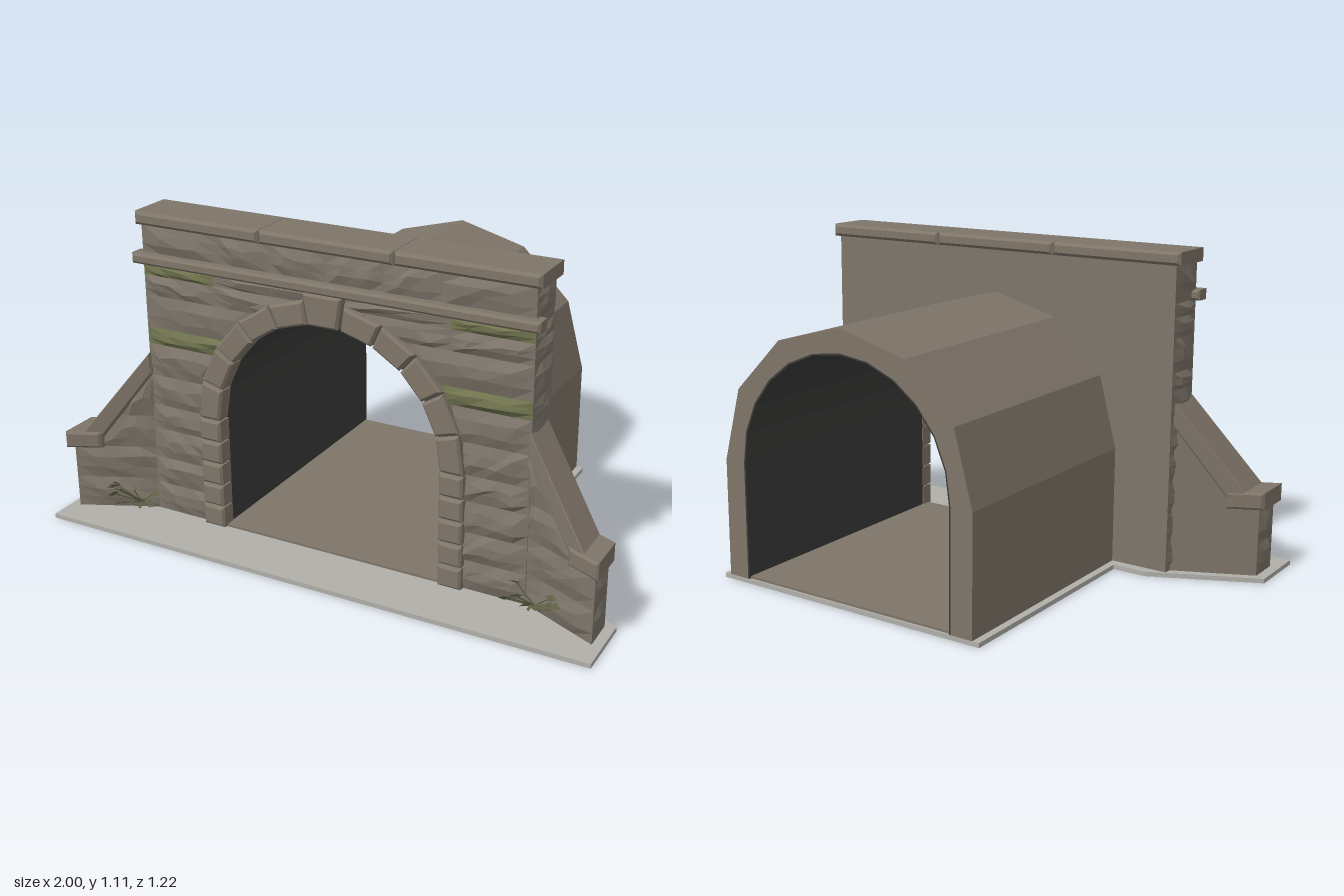
import * as THREE from 'three';
import { mergeGeometries } from 'three/addons/utils/BufferGeometryUtils.js';

const material = (name, color, side = THREE.FrontSide) => {
  const m = new THREE.MeshStandardMaterial({ color, side });
  m.name = name;
  return m;
};

const SPRING = 0.42;   // height where the arch starts
const GROUND = 0.016;  // top of the ground slab

let seed = 7;
const rand = () => (seed = (seed * 16807) % 2147483647) / 2147483647;
const lerp = THREE.MathUtils.lerp;

// Flat sided prism from x/y points, between two z values
function prism(points, z0, z1, bevel = 0) {
  const shape = new THREE.Shape(points.map(([x, y]) => new THREE.Vector2(x, y)));
  const geo = new THREE.ExtrudeGeometry(shape, {
    depth: z1 - z0 - 2 * bevel, bevelEnabled: bevel > 0,
    bevelSize: bevel, bevelThickness: bevel, bevelSegments: 1, steps: 1,
  });
  return geo.translate(0, 0, z0 + bevel);
}

// Chamfered rectangular stone
function stone(x0, x1, y0, y1, z0, z1, b = 0.008) {
  return prism([[x0 + b, y0 + b], [x1 - b, y0 + b], [x1 - b, y1 - b], [x0 + b, y1 - b]], z0, z1, b);
}

// Arch outline from right foot over the crown to left foot
function archLine(r, n) {
  const pts = [[r, GROUND]];
  for (let i = 0; i <= n; i++) {
    const a = (i / n) * Math.PI;
    pts.push([r * Math.cos(a), SPRING + r * Math.sin(a)]);
  }
  pts.push([-r, GROUND]);
  return pts;
}
const horseshoe = (ro, no, ri, ni, z0, z1) =>
  prism([...archLine(ro, no), ...archLine(ri, ni).reverse()], z0, z1);

// Rock-faced patch: at(u, v) gives the surface, dir pushes the inside outward
function rough(at, dir, nu, nv, depth, flip) {
  const grid = [];
  for (let j = 0; j <= nv; j++) {
    for (let i = 0; i <= nu; i++) {
      const inner = i > 0 && i < nu && j > 0 && j < nv;
      const u = (i + (inner ? (rand() - 0.5) * 0.5 : 0)) / nu;
      const v = (j + (inner ? (rand() - 0.5) * 0.5 : 0)) / nv;
      grid.push(at(u, v).addScaledVector(dir, inner ? depth * (0.4 + 0.8 * rand()) : 0));
    }
  }
  const pos = [];
  const tri = (a, b, c) => (flip ? [a, c, b] : [a, b, c]).forEach((k) => pos.push(...grid[k].toArray()));
  for (let j = 0; j < nv; j++) {
    for (let i = 0; i < nu; i++) {
      const a = j * (nu + 1) + i, b = a + 1, c = a + nu + 1, d = c + 1;
      tri(a, b, d);
      tri(a, d, c);
    }
  }
  const geo = new THREE.BufferGeometry();
  geo.setAttribute('position', new THREE.Float32BufferAttribute(pos, 3));
  geo.computeVertexNormals();
  return geo;
}

// Wing walls slant forward as they leave the portal
const slant = (x) => 0.46 * (Math.abs(x) - 0.71);
function sheared(geo) {
  const p = geo.attributes.position;
  for (let i = 0; i < p.count; i++) p.setZ(i, p.getZ(i) + slant(p.getX(i)));
  geo.computeVertexNormals();
  return geo;
}

export function createModel() {
  const model = new THREE.Group();
  model.name = 'tunnelPortal';
  const wall = material('wall stone', 0x7d756a);
  const trim = material('dressed stone', 0x7f7569);
  const ground = material('ground concrete', 0xb0afa9);
  const dark = material('dark lining', 0x3b3b3a);
  const joint = material('mortar', 0x4c463e);
  const moss = material('moss', 0x70744e);
  const leaf = material('leaf green', 0x5d6042, THREE.DoubleSide);
  const add = (name, geo, mat) => {
    const mesh = new THREE.Mesh(geo, mat);
    mesh.name = name;
    model.add(mesh);
  };

  // Ground slab and tunnel floor
  const half = [[1, -0.61], [1, -0.385], [0.64, -0.215], [0.52, -0.215], [0.52, 0.61]];
  const outline = [...half, ...half.map(([x, y]) => [-x, y]).reverse()];
  add('groundSlab', prism(outline, 0, GROUND).rotateX(-Math.PI / 2), ground);
  add('tunnelFloor', new THREE.BoxGeometry(0.824, 0.008, 1.005).translate(0, 0.02, -0.1), trim);

  // Tunnel
  add('tunnelShell', horseshoe(0.495, 6, 0.416, 12, -0.61, 0.26), trim);
  add('tunnelLining', horseshoe(0.416, 12, 0.41, 12, -0.609, 0.37), dark);

  // Portal wall with its arched opening
  add('portalWall', prism([[0.7, GROUND], [0.7, 1.07], [-0.7, 1.07], [-0.7, GROUND],
    ...archLine(0.416, 12).reverse()], 0.25, 0.393), wall);
  add('archMortar', horseshoe(0.486, 22, 0.416, 22, 0.36, 0.408), joint);

  // Rock-faced courses on the front and ends
  const rows = [GROUND, 0.12, 0.22, 0.33, 0.42, 0.53, 0.645, 0.705, 0.82, 0.89, 0.937];
  const archEdge = (y) => (y < SPRING ? 0.45 : Math.sqrt(Math.max(0, 0.45 ** 2 - (y - SPRING) ** 2)));
  const faces = [], mossy = [], wings = [];
  const front = new THREE.Vector3(0, 0, 1);
  for (const s of [1, -1]) {
    const flip = s < 0, out = new THREE.Vector3(s, 0, 0);
    const course = (y0, y1, inner, outer, nu) => rough((u, v) => {
      const y = lerp(y0, y1, v);
      return new THREE.Vector3(s * lerp(inner(y), outer(y), u), y, 0.395);
    }, front, nu, 3, 0.014, flip);
    const end = (y0, y1, x, z0, z1) => rough((u, v) =>
      new THREE.Vector3(s * x, lerp(y0, y1, v), lerp(z0, z1, u)), out, 3, 3, 0.012, flip);
    for (let i = 0; i < rows.length - 1; i++) {
      const y0 = rows[i], y1 = rows[i + 1], top = i >= 8;
      const edge = () => 0.702, split = () => 0.43;
      (i === 6 || i === 9 ? mossy : faces).push(course(y0, y1, top ? split : archEdge, edge, 5));
      if (top) faces.push(course(y0, y1, archEdge, split, 4));
      faces.push(end(y0, y1, 0.702, 0.395, 0.25));
    }
    // Frieze
    [[0, 0.2], [0.2, 0.4], [0.4, 0.702]].forEach(([a, b]) =>
      faces.push(course(0.965, 1.066, () => a, () => b, 4)));
    faces.push(end(0.965, 1.066, 0.702, 0.395, 0.25));

    // Wing wall
    const side = s > 0 ? 'left' : 'right';
    const mir = (pts) => pts.map(([x, y]) => [s * x, y]);
    add(side + 'WingWall', sheared(prism(mir([[0.69, GROUND], [0.965, GROUND], [0.965, 0.27],
      [0.89, 0.27], [0.69, 0.56]]), 0.28, 0.394)), wall);
    add(side + 'WingSlopeCoping', sheared(prism(mir([[0.7, 0.535], [0.87, 0.295], [0.93, 0.295],
      [0.7, 0.605]]), 0.268, 0.412, 0.006)), trim);
    add(side + 'WingCap', sheared(stone(s > 0 ? 0.868 : -0.982, s > 0 ? 0.982 : -0.868,
      0.25, 0.31, 0.265, 0.42)), trim);
    const wingEdge = (y) => (y <= 0.25 ? 0.966 : lerp(0.9, 0.69, (y - 0.25) / 0.31));
    const wingRows = [GROUND, 0.13, 0.25, 0.37, 0.55];
    for (let i = 0; i < 4; i++) {
      wings.push(sheared(course(wingRows[i], wingRows[i + 1], () => 0.69, wingEdge, 4)));
      if (i < 2) wings.push(end(wingRows[i], wingRows[i + 1], 0.966, 0.395 + slant(0.966), 0.28 + slant(0.966)));
    }
  }
  add('portalCourses', mergeGeometries(faces), wall);
  add('mossBands', mergeGeometries(mossy), moss);
  add('wingCourses', mergeGeometries(wings), wall);

  // Arch stones: jambs, wedges and a larger keystone
  const ring = [];
  const jamb = (SPRING - GROUND) / 5;
  for (const s of [1, -1]) {
    for (let i = 0; i < 5; i++) {
      const y = GROUND + i * jamb;
      ring.push(stone(s > 0 ? 0.408 : -0.49, s > 0 ? 0.49 : -0.408, y + 0.003, y + jamb - 0.003, 0.36, 0.425));
    }
  }
  const step = Math.PI / 11;
  for (let i = 0; i < 11; i++) {
    if (i === 5) continue;
    const mid = (i + 0.5) * step;
    const at = (r, side) => {
      const a = mid + side * (step / 2 - 0.011 / r);
      return [r * Math.cos(a), SPRING + r * Math.sin(a)];
    };
    ring.push(prism([at(0.417, -1), at(0.482, -1), at(0.482, 1), at(0.417, 1)], 0.36, 0.425, 0.008));
  }
  add('archStones', mergeGeometries(ring), trim);
  add('keystone', prism([[-0.047, 0.837], [0.047, 0.837], [0.062, 0.928], [-0.062, 0.928]], 0.36, 0.432, 0.008), trim);

  // String course and parapet coping
  add('stringCourse', stone(-0.727, 0.727, 0.934, 0.97, 0.368, 0.43), trim);
  [[-0.72, -0.241], [-0.239, 0.239], [0.241, 0.72]].forEach(([a, b], i) =>
    add('parapetCoping' + (i + 1), stone(a, b, 1.063, 1.108, 0.232, 0.412, 0.01), trim));

  // Plants sprouting at the foot of the wing walls
  for (const s of [1, -1]) {
    const parts = [];
    for (let i = 0; i < 13; i++) {
      const a = 0.15 + (i / 12) * 2.84;
      const reach = 0.05 + 0.05 * rand();
      const root = new THREE.Vector3(s * 0.75, 0.05, 0.44);
      const tip = new THREE.Vector3(s * 0.75 + Math.cos(a) * reach, 0.07 + 0.065 * rand(),
        0.45 + Math.sin(a) * reach);
      const stem = new THREE.LineCurve3(root, tip);
      parts.push(new THREE.TubeGeometry(stem, 1, 0.002, 3).toNonIndexed());
      const blade = new THREE.CircleGeometry(0.021, 4).scale(1, 0.6, 1).toNonIndexed();
      blade.rotateX(-1.1 + rand() * 0.6).rotateY(-a).translate(tip.x, tip.y, tip.z);
      parts.push(blade);
    }
    add(s > 0 ? 'leftPlant' : 'rightPlant', mergeGeometries(parts), leaf);
  }
  return model;
}
